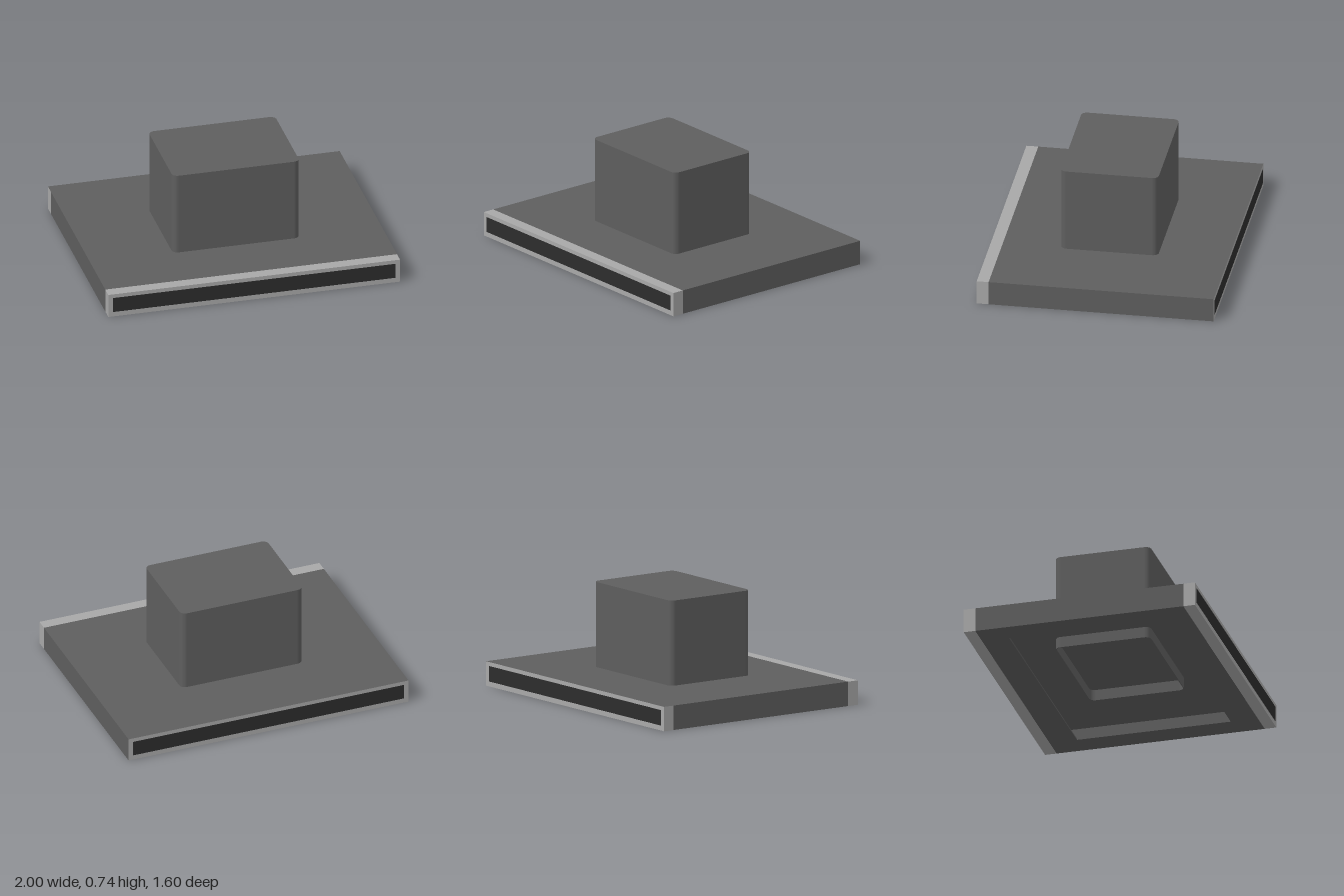
import * as THREE from 'three';

const W = 2, H = 0.165, Z = 0.797, TRIM = 0.08, T = 0.01;

function roundedRect(w, d, r) {
  const x = w / 2, y = d / 2, s = new THREE.Shape();
  s.moveTo(-x + r, -y);
  s.lineTo(x - r, -y);
  s.absarc(x - r, -y + r, r, -Math.PI / 2, 0);
  s.lineTo(x, y - r);
  s.absarc(x - r, y - r, r, 0, Math.PI / 2);
  s.lineTo(-x + r, y);
  s.absarc(-x + r, y - r, r, Math.PI / 2, Math.PI);
  s.lineTo(-x, -y + r);
  s.absarc(-x + r, -y + r, r, Math.PI, Math.PI * 1.5);
  return s;
}

function rect(Base, w, d) {
  const s = new Base();
  s.moveTo(-w / 2, -d / 2);
  s.lineTo(w / 2, -d / 2);
  s.lineTo(w / 2, d / 2);
  s.lineTo(-w / 2, d / 2);
  s.closePath();
  return s;
}

export function createModel() {
  const group = new THREE.Group();
  const material = (name, color) => {
    const m = new THREE.MeshStandardMaterial({ color });
    m.name = name;
    return m;
  };
  const gray = material('dark gray', 0x5e5e5e);
  const light = material('light gray', 0xa8a8a8);
  const black = material('slot black', 0x2c2c2c);

  const add = (name, geometry, mat, x, y, z) => {
    const mesh = new THREE.Mesh(geometry, mat);
    mesh.name = name;
    mesh.position.set(x, y, z);
    group.add(mesh);
  };
  const box = (name, w, h, d, mat, x, y, z) =>
    add(name, new THREE.BoxGeometry(w, h, d), mat, x, y, z);
  // Extrudes a plan shape upwards from y
  const slab = (name, shape, h, y) => {
    const g = new THREE.ExtrudeGeometry(shape, { depth: h, bevelEnabled: false, curveSegments: 4 });
    add(name, g.rotateX(-Math.PI / 2), gray, 0, y, 0);
  };

  // Hollow canopy: top sheet, side walls and a bottom sheet with an opening
  const inner = 2 * (Z - TRIM);
  box('canopyTop', W, T, inner, gray, 0, H - T / 2, 0);
  for (const s of [-1, 1]) {
    box('canopySide', T, H - 2 * T, inner, gray, s * (W / 2 - T / 2), H / 2, 0);
  }
  const bottom = rect(THREE.Shape, W, inner);
  bottom.holes.push(rect(THREE.Path, 1.66, 1.06));
  slab('canopyBottom', bottom, T, 0);

  // End trims; the rear one blends into the canopy on its top and one side
  const endZ = Z - TRIM / 2;
  box('frontTrim', W, H, TRIM, light, 0, H / 2, endZ);
  box('rearTrim', W, H, TRIM, [gray, light, gray, light, light, light], 0, H / 2, -endZ);

  // Long dark slots on both ends
  for (const s of [-1, 1]) {
    box('slot', 1.934, 0.104, 0.004, black, 0, 0.086, s * Z);
  }

  // Chimney with a hollow collar hanging inside the canopy
  slab('chimney', roundedRect(0.87, 0.656, 0.04), 0.74 - H + T / 2, H - T / 2);
  const collar = roundedRect(0.87, 0.656, 0.04);
  collar.holes.push(roundedRect(0.86, 0.646, 0.036));
  slab('collar', collar, H - T - 0.08, 0.08);

  return group;
}
